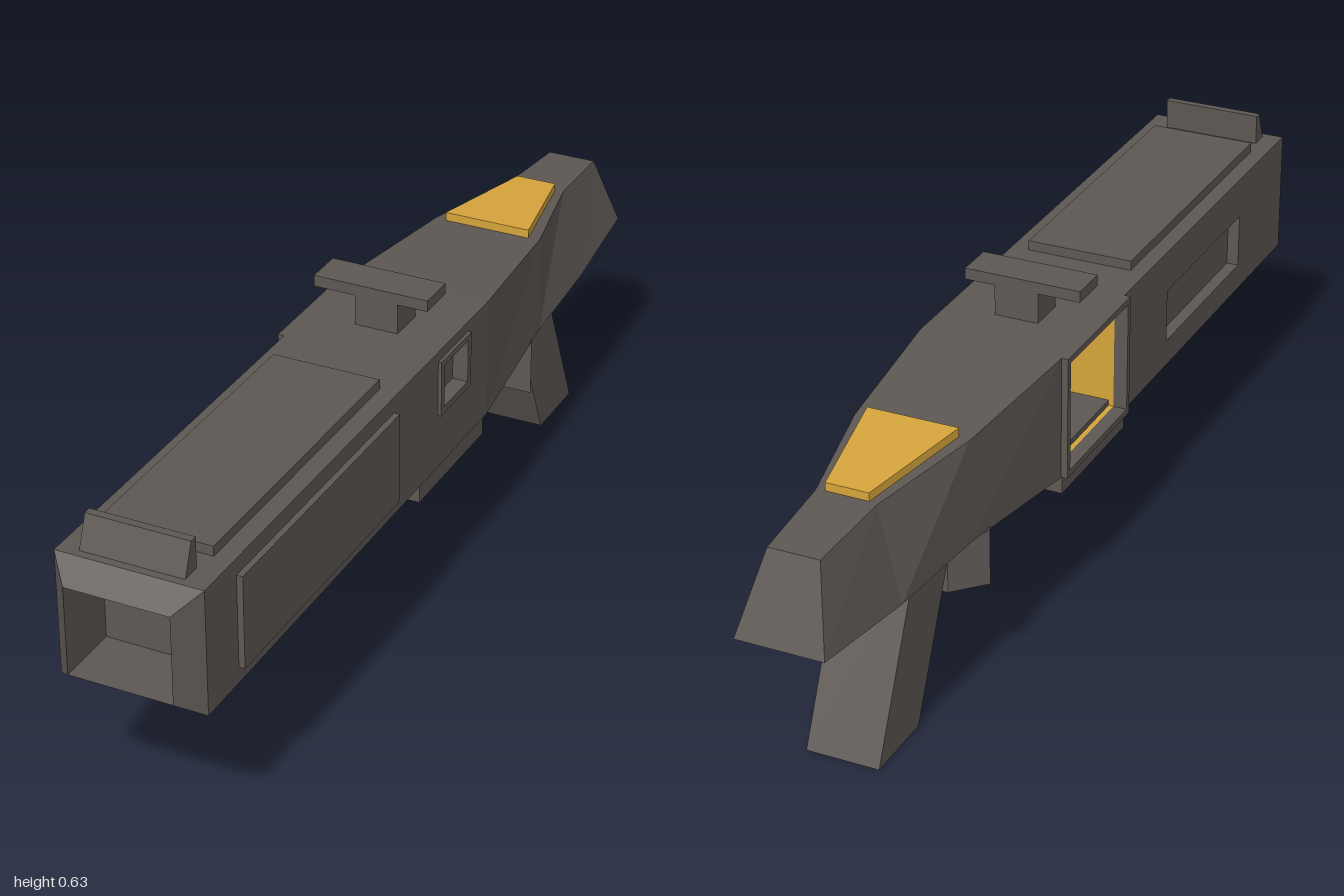
import * as THREE from 'three';

const dark = new THREE.MeshStandardMaterial({ color: 0x5e5854 });
const gold = new THREE.MeshStandardMaterial({ color: 0xd6a53c });
const goldInside = new THREE.MeshStandardMaterial({ color: 0xd6a53c, side: THREE.DoubleSide });

export function createModel() {
  const model = new THREE.Group();
  model.name = 'launcher';

  const add = (name, geometry, material = dark) => {
    const mesh = new THREE.Mesh(geometry, material);
    mesh.name = name;
    model.add(mesh);
    return mesh;
  };

  // Box given by its limits on each axis
  const block = (name, [x0, x1], [y0, y1], [z0, z1]) => {
    const g = new THREE.BoxGeometry(x1 - x0, y1 - y0, z1 - z0);
    g.translate((x0 + x1) / 2, (y0 + y1) / 2, (z0 + z1) / 2);
    return add(name, g);
  };

  // Side outline of [z, y] points, extruded across x from x0 to x1
  const rect = ([z0, z1], [y0, y1]) => [[z0, y0], [z1, y0], [z1, y1], [z0, y1]];
  const slab = (name, outline, [x0, x1], holes = []) => {
    const toVectors = pts => pts.map(p => new THREE.Vector2(...p));
    const shape = new THREE.Shape(toVectors(outline));
    for (const h of holes) shape.holes.push(new THREE.Path(toVectors(h)));
    const g = new THREE.ExtrudeGeometry(shape, { depth: x1 - x0, bevelEnabled: false });
    g.rotateY(-Math.PI / 2);
    g.translate(x1, 0, 0);
    return add(name, g);
  };

  // Four-sided loft through rings, first to last, capped at both ends.
  // zt, wt, yt: top edge; zb, wb, yb: bottom edge (w is half width)
  const loft = (name, rings, material) => {
    const loops = rings.map(({ zt, zb = zt, wt, wb = wt, yt, yb }) => [
      [-wb, yb, zb], [wb, yb, zb], [wt, yt, zt], [-wt, yt, zt],
    ]);
    const pos = [];
    const quad = (a, b, c, d) => pos.push(...a, ...b, ...c, ...a, ...c, ...d);
    for (let r = 0; r < loops.length - 1; r++) {
      const A = loops[r], B = loops[r + 1];
      for (let i = 0; i < 4; i++) {
        const j = (i + 1) % 4;
        quad(A[i], B[i], B[j], A[j]);
      }
    }
    const last = loops[loops.length - 1];
    quad(...loops[0]);
    quad(last[0], last[3], last[2], last[1]);
    const g = new THREE.BufferGeometry();
    g.setAttribute('position', new THREE.Float32BufferAttribute(pos, 3));
    g.computeVertexNormals();
    return add(name, g, material);
  };

  // Main housing: two pierced side walls joined by a roof and a floor
  const bodyZ = [-0.18, 0.955], bodyY = [0.29, 0.543];
  const portHole = rect([-0.162, 0.103], [0.303, 0.53]);
  const slotHole = rect([0.33, 0.715], [0.345, 0.457]);
  const windowHole = rect([-0.075, 0.03], [0.42, 0.51]);
  slab('rightWall', rect(bodyZ, bodyY), [-0.145, -0.12], [portHole, slotHole]);
  slab('leftWall', rect(bodyZ, bodyY), [0.12, 0.145], [windowHole]);
  block('roof', [-0.12, 0.12], [0.518, 0.543], bodyZ);
  block('floor', [-0.12, 0.12], [0.29, 0.315], bodyZ);
  block('slotBack', [-0.12, -0.11], [0.33, 0.47], [0.32, 0.73]);
  block('windowBack', [0.11, 0.12], [0.41, 0.517], [-0.09, 0.04]);

  // Side details
  slab('portFrame', rect([-0.175, 0.115], bodyY), [-0.158, -0.145], [portHole]);
  slab('windowFrame', rect([-0.09, 0.045], [0.405, 0.522]), [0.145, 0.152], [windowHole]);
  block('sidePanel', [0.14, 0.157], [0.322, 0.51], [0.235, 0.845]);

  // Rounded chamber seen through the port
  const chamber = new THREE.CylinderGeometry(0.113, 0.113, 0.264, 32, 1, false, 0, Math.PI);
  chamber.rotateX(Math.PI / 2);
  chamber.scale(2, 1, 1);
  chamber.translate(-0.13, 0.4165, -0.0295);
  add('chamber', chamber, goldInside);

  // Chamfered muzzle with a square bore
  loft('muzzle', [
    { zt: 0.87, wt: 0.103, yt: 0.505, yb: 0.327 },
    { zt: 1, wt: 0.103, yt: 0.505, yb: 0.327 },
    { zt: 0.955, wt: 0.145, yt: 0.543, yb: 0.29 },
  ]);

  // Tapering stock with a raked end
  loft('stock', [
    { zt: -0.18, wt: 0.145, yt: 0.543, yb: 0.29 },
    { zt: -0.5, wt: 0.115, wb: 0.12, yt: 0.525, yb: 0.32 },
    { zt: -0.75, wt: 0.06, wb: 0.105, yt: 0.511, yb: 0.322 },
    { zt: -0.937, zb: -1, wt: 0.051, wb: 0.088, yt: 0.5, yb: 0.343 },
  ]);
  loft('cheekPlate', [
    { zt: -0.495, wt: 0.092, yt: 0.543, yb: 0.52 },
    { zt: -0.745, wt: 0.043, yt: 0.528, yb: 0.506 },
  ], gold);

  // Top: raised cover, front sight flap, T-shaped rear sight
  block('topCover', [-0.112, 0.108], [0.54, 0.563], [0.22, 0.855]);
  slab('frontSight', [[0.9, 0.54], [0.94, 0.54], [0.915, 0.605], [0.899, 0.605]], [-0.105, 0.1]);
  block('sightPost', [-0.045, 0.045], [0.54, 0.605], [-0.065, 0.015]);
  block('sightBar', [-0.132, 0.107], [0.605, 0.628], [-0.065, 0.015]);

  // Underside: tray, trigger block, slanted grip
  block('tray', [-0.145, 0.143], [0.252, 0.292], [-0.17, 0.12]);
  loft('triggerBlock', [
    { zt: -0.445, wt: 0.127, yt: 0.322, yb: 0.2 },
    { zt: -0.505, wt: 0.07, yt: 0.322, yb: 0.2 },
  ]);
  slab('grip', [[-0.65, 0], [-0.493, 0.35], [-0.648, 0.35], [-0.805, 0]], [-0.08, 0.067]);

  return model;
}
